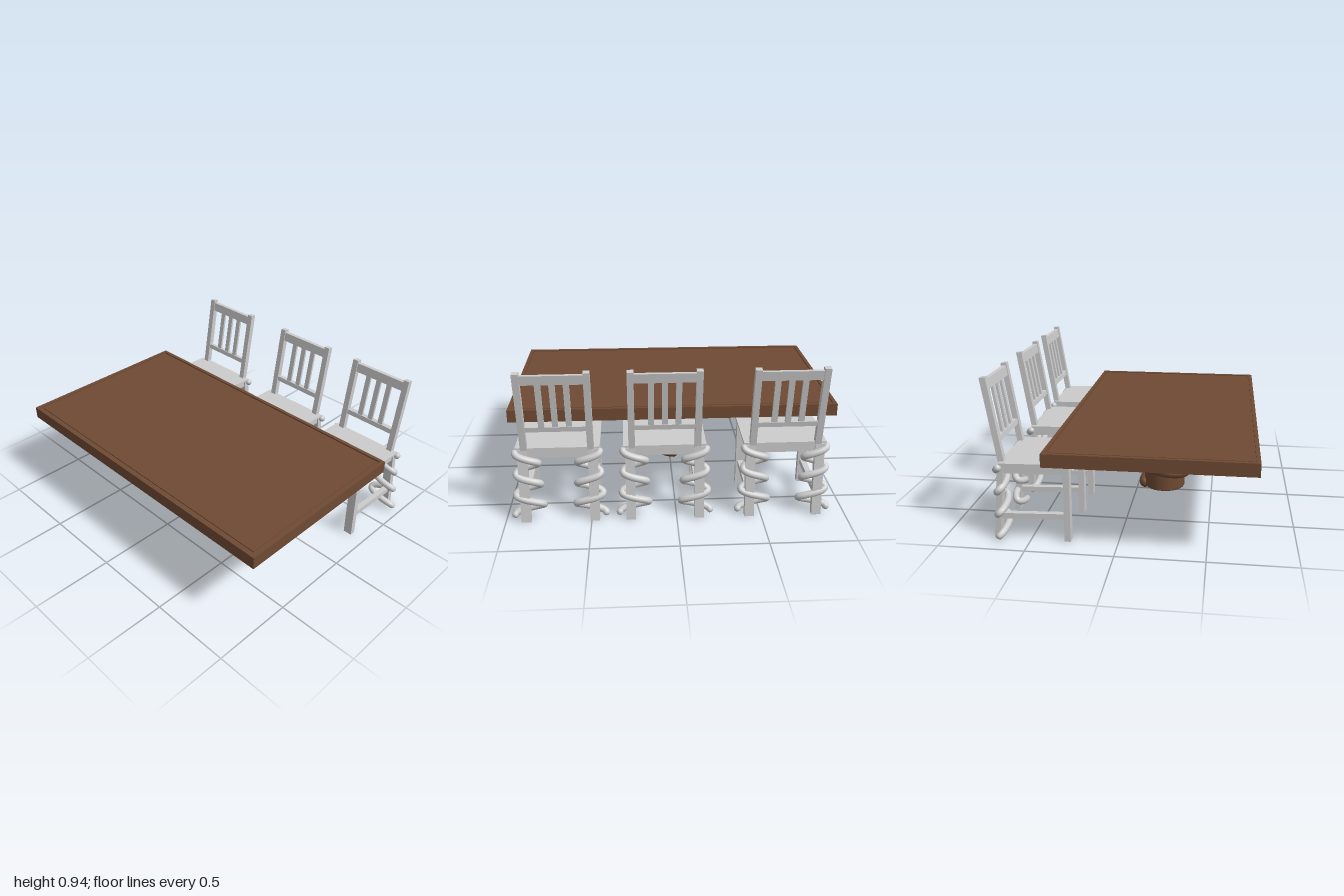
import * as THREE from 'three';

const brown = new THREE.MeshStandardMaterial({ color: 0x6f4a33 });
brown.name = 'brown wood';
const grey = new THREE.MeshStandardMaterial({ color: 0xcccccc });
grey.name = 'pale grey paint';

function add(parent, name, geometry, material) {
  const mesh = new THREE.Mesh(geometry, material);
  mesh.name = name;
  parent.add(mesh);
  return mesh;
}

function box(parent, name, material, x0, x1, y0, y1, z0, z1) {
  const mesh = add(parent, name, new THREE.BoxGeometry(x1 - x0, y1 - y0, z1 - z0), material);
  mesh.position.set((x0 + x1) / 2, (y0 + y1) / 2, (z0 + z1) / 2);
  return mesh;
}

// Side outline in x/y, extruded across z around zc
function plank(parent, name, material, outline, zc, width) {
  const shape = new THREE.Shape(outline.map(([x, y]) => new THREE.Vector2(x, y)));
  const mesh = add(parent, name, new THREE.ExtrudeGeometry(shape, { depth: width, bevelEnabled: false }), material);
  mesh.position.z = zc - width / 2;
  return mesh;
}

// Round coil along a path function of u in 0..1, with rounded ends
function coil(parent, name, material, path, radius, segments) {
  const group = new THREE.Group();
  group.name = name;
  const points = Array.from({ length: 73 }, (_, i) => path(i / 72));
  const curve = new THREE.CatmullRomCurve3(points);
  add(group, 'coilTube', new THREE.TubeGeometry(curve, segments, radius, 12), material);
  for (const p of [points[0], points[72]]) {
    add(group, 'coilEnd', new THREE.SphereGeometry(radius, 12, 8), material).position.copy(p);
  }
  parent.add(group);
}

function rectangle(Kind, x0, x1, z0, z1) {
  return new Kind([[x0, z0], [x1, z0], [x1, z1], [x0, z1]].map(([x, z]) => new THREE.Vector2(x, z)));
}

function createTable() {
  const table = new THREE.Group();
  table.name = 'table';
  const x0 = -0.765, x1 = 0.39;

  // Top: slab, raised rim and inner panel with a groove between
  box(table, 'tableSlab', brown, x0, x1, 0.497, 0.564, -1, 1);
  const rim = rectangle(THREE.Shape, x0, x1, -1, 1);
  rim.holes.push(rectangle(THREE.Path, x0 + 0.023, x1 - 0.023, -0.977, 0.977));
  const rimMesh = add(table, 'tableRim', new THREE.ExtrudeGeometry(rim, { depth: 0.009, bevelEnabled: false }), brown);
  rimMesh.rotation.x = -Math.PI / 2;
  rimMesh.position.y = 0.564;
  box(table, 'tablePanel', brown, x0 + 0.038, x1 - 0.038, 0.564, 0.57, -0.962, 0.962);

  // Round pedestal with a narrower neck; each hard edge doubled
  const profile = [[0, 0.035], [0.127, 0.035], [0.127, 0.035], [0.132, 0.041], [0.132, 0.041],
    [0.132, 0.472], [0.132, 0.472], [0.118, 0.472], [0.118, 0.472], [0.118, 0.498]];
  const pedestal = add(table, 'pedestal',
    new THREE.LatheGeometry(profile.map(([r, y]) => new THREE.Vector2(r, y)), 40), brown);
  pedestal.position.x = -0.187;

  // Coil descending around the pedestal, tightening slightly
  coil(table, 'pedestalCoil', brown, (u) => {
    const t = -Math.PI / 2 + u * Math.PI * 5.55;
    const r = 0.15 - 0.018 * u;
    return new THREE.Vector3(-0.187 - r * Math.cos(t), 0.455 - 0.0795 * t / Math.PI, r * Math.sin(t));
  }, 0.037, 160);
  return table;
}

function createChair(z) {
  const chair = new THREE.Group();
  chair.name = 'chair';
  chair.position.z = z;

  // Seat board and the frame below it, sloping slightly to the rear
  plank(chair, 'seat', grey, [[0.27, 0.453], [0.668, 0.445], [0.668, 0.459], [0.27, 0.467]], 0, 0.48);
  box(chair, 'frontApron', grey, 0.275, 0.3, 0.403, 0.453, -0.18, 0.18);
  box(chair, 'rearApron', grey, 0.642, 0.668, 0.398, 0.446, -0.18, 0.18);

  for (const s of [-1, 1]) {
    const side = s * 0.2;
    plank(chair, 'sideApron', grey, [[0.3, 0.403], [0.65, 0.395], [0.65, 0.446], [0.3, 0.453]], side, 0.04);
    plank(chair, 'sideStretcher', grey, [[0.3, 0.13], [0.67, 0.118], [0.67, 0.151], [0.3, 0.163]], side, 0.035);
    box(chair, 'frontLeg', grey, 0.27, 0.305, 0, 0.454, side - 0.028, side + 0.028);
    plank(chair, 'backLeg', grey, [[0.68, 0], [0.714, 0], [0.677, 0.448], [0.642, 0.448]], side, 0.056);
    plank(chair, 'backPost', grey, [[0.64, 0.44], [0.675, 0.44], [0.757, 0.935], [0.722, 0.94]], s * 0.189, 0.037);

    // Flattened coil winding down the back leg
    coil(chair, 'legCoil', grey, (u) => {
      const t = u * Math.PI * 6;
      const a = 0.064 + 0.026 * u * u;
      return new THREE.Vector3(0.671 + 0.022 * Math.sin(t), 0.432 - 0.4 * u, s * (0.176 + a * Math.cos(t)));
    }, 0.021, 120);
  }

  // Leaning backrest between the posts
  const lean = (y) => 0.6575 + (y - 0.445) * 0.165;
  const leaning = (name, y0, y1, thick, zc, width) => plank(chair, name, grey, [
    [lean(y0) - thick / 2, y0], [lean(y0) + thick / 2, y0],
    [lean(y1) + thick / 2, y1], [lean(y1) - thick / 2, y1]], zc, width);
  leaning('topRail', 0.866, 0.922, 0.024, 0, 0.345);
  leaning('lowerRail', 0.568, 0.598, 0.024, 0, 0.345);
  for (const i of [-1, 0, 1]) leaning('backSlat', 0.59, 0.875, 0.015, i * 0.077, 0.033);
  return chair;
}

export function createModel() {
  const model = new THREE.Group();
  model.name = 'diningSet';
  model.add(createTable());
  for (const z of [0.68, 0.068, -0.629]) model.add(createChair(z));
  return model;
}
